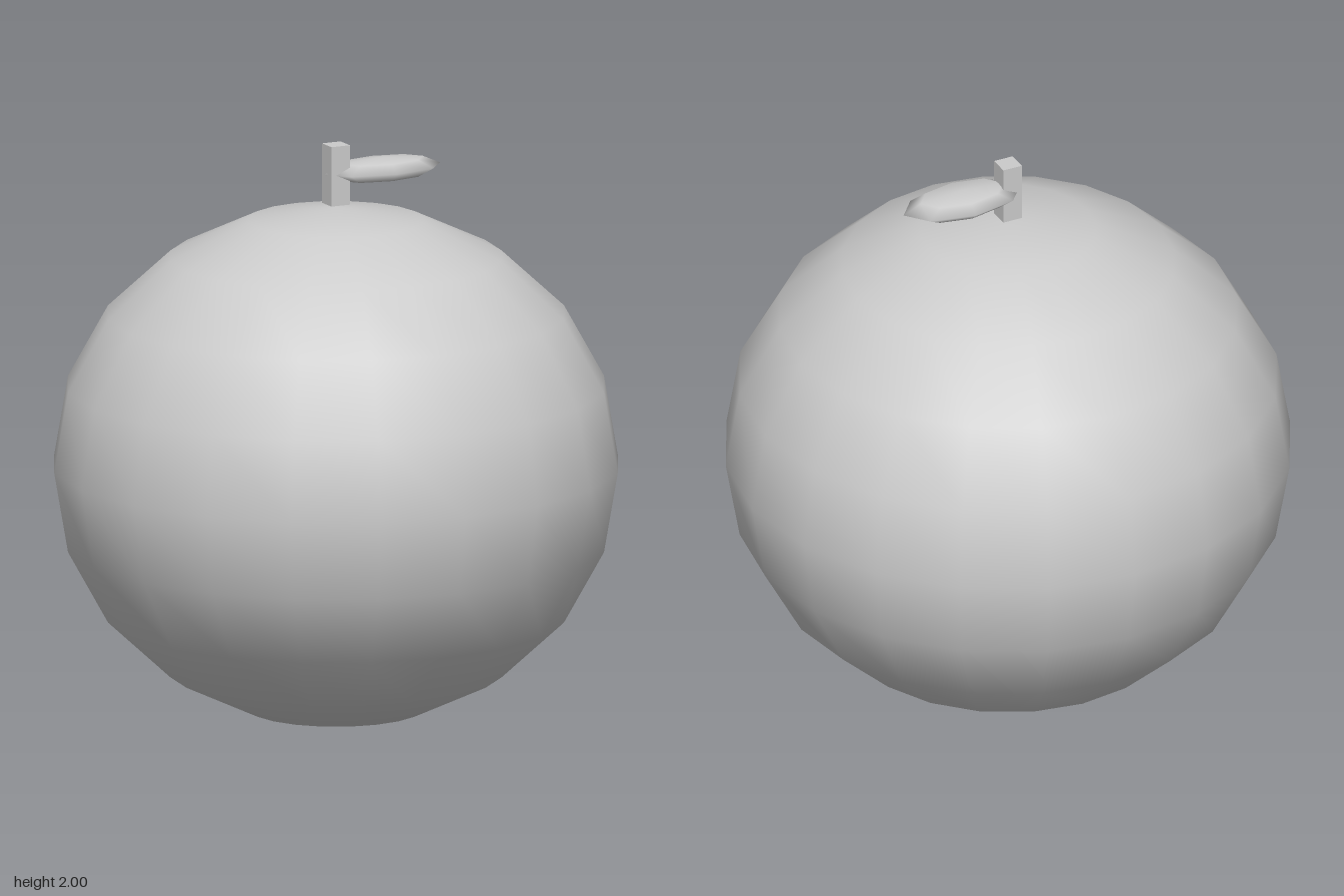
import * as THREE from 'three';

export function createModel() {
  const model = new THREE.Group();
  const material = new THREE.MeshStandardMaterial({ color: 0xcccccc });

  const add = (name, geometry, x, y, z) => {
    const mesh = new THREE.Mesh(geometry, material);
    mesh.name = name;
    mesh.position.set(x, y, z);
    model.add(mesh);
    return mesh;
  };

  // Smooth-shaded ellipsoid with few sides; scaling the geometry keeps its normals right
  const ellipsoid = (rx, ry, rz, sides, rings) =>
    new THREE.SphereGeometry(1, sides, rings).scale(rx, ry, rz);

  // Slightly flattened round fruit
  add('fruit', ellipsoid(0.967, 0.891, 0.967, 20, 10), 0, 0.892, 0);

  // Square stem just above the fruit
  add('stem', new THREE.BoxGeometry(0.07, 0.206, 0.07), 0, 1.897, 0);

  // Thin leaf reaching from the stem to the left
  add('leaf', ellipsoid(0.22, 0.041, 0.11, 8, 4), 0.175, 1.899, 0);

  return model;
}
